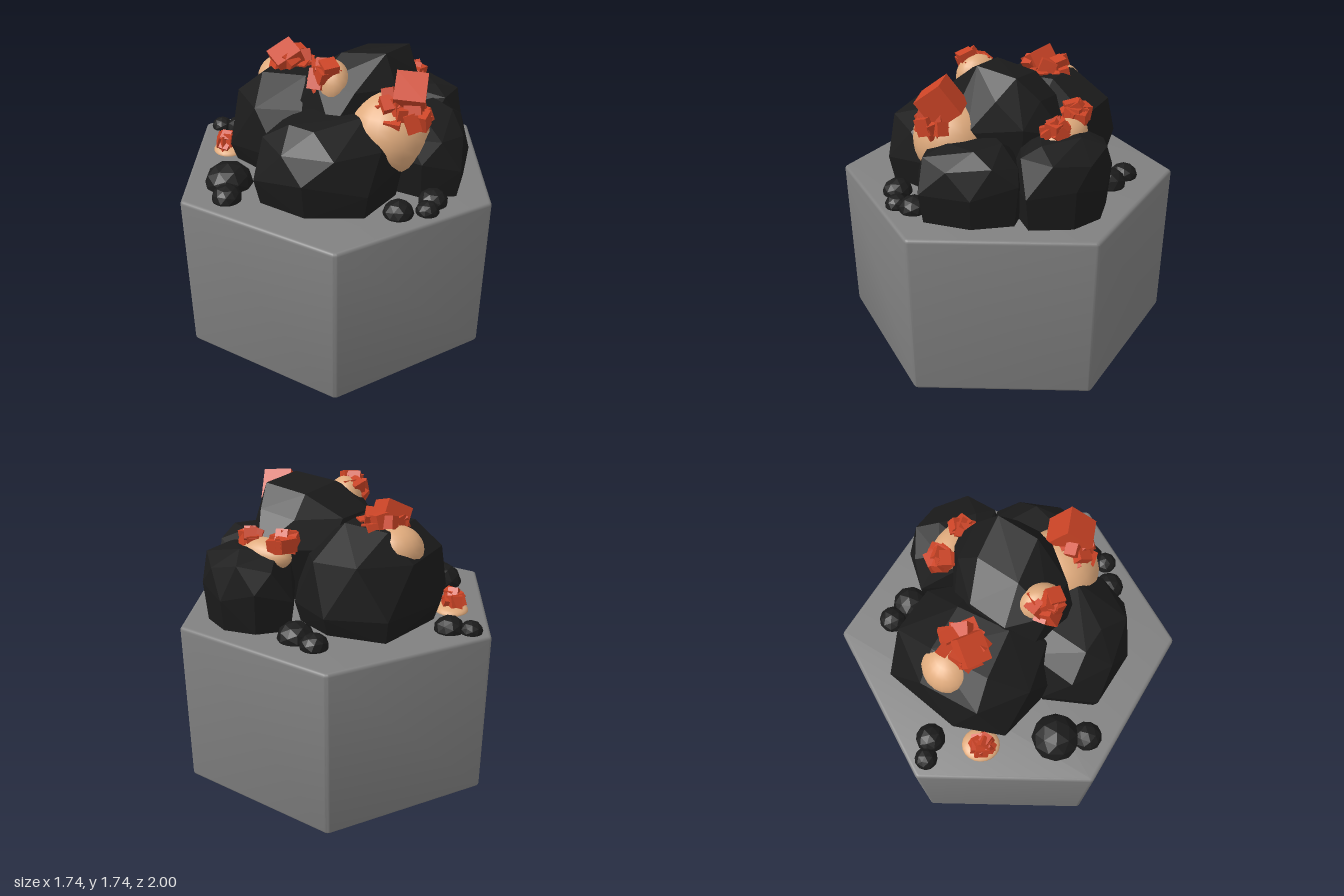
import * as THREE from 'three';
import { toCreasedNormals } from 'three/addons/utils/BufferGeometryUtils.js';
import { ConvexGeometry } from 'three/addons/geometries/ConvexGeometry.js';

const mat = (color, flatShading = false) => new THREE.MeshStandardMaterial({ color, flatShading });

// Small seeded random source
function seeded(seed) {
  let s = seed * 7919 + 17;
  return () => (s = (s * 16807) % 2147483647) / 2147483647;
}

function add(parent, name, geometry, material, position = [0, 0, 0]) {
  const mesh = new THREE.Mesh(geometry, material);
  mesh.name = name;
  mesh.position.set(...position);
  parent.add(mesh);
  return mesh;
}

// Hexagonal block with softly rounded corners and rims
function hexBlock() {
  const pts = [], bevel = 0.02, arc = 0.012, c = 1 - bevel - arc;
  for (let i = 0; i < 6; i++) {
    const a = Math.PI / 2 + i * Math.PI / 3;
    for (let j = -2; j <= 2; j++) {
      const b = a + j * Math.PI / 12;
      pts.push(new THREE.Vector2(c * Math.cos(a) + arc * Math.cos(b), c * Math.sin(a) + arc * Math.sin(b)));
    }
  }
  const geo = new THREE.ExtrudeGeometry(new THREE.Shape(pts), {
    depth: 1 - 2 * bevel, bevelEnabled: true, bevelSize: bevel, bevelThickness: bevel, bevelSegments: 4,
  });
  geo.rotateX(-Math.PI / 2).translate(0, bevel, 0);
  return toCreasedNormals(geo, 0.6);
}

// Faceted boulder: hull of a footprint [x, z] drawn in towards a tilted top
function boulder({ outline, y, top, topScale = 0.42, tilt = 0, seed }) {
  const rnd = seeded(seed), pts = [], n = outline.length;
  const cx = outline.reduce((s, p) => s + p[0], 0) / n;
  const cz = outline.reduce((s, p) => s + p[1], 0) / n;
  const [base, waist, shoulder, peak] = y;
  outline.forEach(([x, z], i) => {
    const [nx, nz] = outline[(i + 1) % n];
    const mx = (x + nx) / 2 - cx, mz = (z + nz) / 2 - cz;
    const dx = x - cx, dz = z - cz;
    pts.push(new THREE.Vector3(cx + dx * 0.92, base, cz + dz * 0.92));
    pts.push(new THREE.Vector3(x, waist + (rnd() - 0.5) * 0.08, z));
    const k = 0.88 + rnd() * 0.08;
    pts.push(new THREE.Vector3(cx + mx * k, shoulder + (rnd() - 0.5) * 0.06, cz + mz * k));
    if (i % 2 === 0) {
      const tz = top[1] + dz * topScale;
      pts.push(new THREE.Vector3(top[0] + dx * topScale, peak - rnd() * 0.03 + tilt * (tz - 0.2), tz));
    }
  });
  return new ConvexGeometry(pts);
}

// Cluster of cubic crystals: one large block with smaller ones crowded round it
function crystals({ at, span, main, offset, count, seed }, material) {
  const rnd = seeded(seed), group = new THREE.Group();
  for (let i = 0; i < 5; i++) rnd();
  group.name = 'crystalCluster';
  group.position.set(...at);
  const big = add(group, 'largeCrystal', new THREE.BoxGeometry(...main), material, offset);
  big.rotation.set(0.35, 0.5 + rnd(), 0.3);
  for (let i = 0; i < count; i++) {
    const s = 0.055 + rnd() * 0.05 * Math.min(1, span[0] * 4);
    const a = i * 2.4, r = 0.35 + 0.65 * Math.sqrt((i + 0.5) / count);
    const pos = [
      Math.cos(a) * r * (span[0] / 2 - s / 2),
      (rnd() - 0.5) * (span[1] - s),
      Math.sin(a) * r * (span[2] / 2 - s / 2),
    ];
    const box = add(group, 'smallCrystal', new THREE.BoxGeometry(s, s * (0.8 + rnd() * 0.6), s), material, pos);
    box.rotation.set((rnd() - 0.5) * 0.9, rnd() * 3, (rnd() - 0.5) * 0.9);
  }
  return group;
}

export function createModel() {
  const model = new THREE.Group();
  model.name = 'rockPile';
  const stone = mat(0x808080), coal = mat(0x1b1b1b, true), sand = mat(0xdfaa7c), red = mat(0xcc4426, true);

  add(model, 'hexBase', hexBlock(), stone);

  // Five large boulders
  const boulders = {
    backLeftBoulder: {
      outline: [[-0.64, 0], [-0.59, -0.3], [-0.3, -0.67], [0.05, -0.58], [0.23, -0.38], [0.2, 0.08], [-0.06, 0.24], [-0.33, 0.29]],
      y: [0.99, 1.14, 1.4, 1.56], top: [-0.23, -0.17], topScale: 0.45, seed: 1,
    },
    frontBoulder: {
      outline: [[-0.45, 0.52], [-0.42, 0.2], [-0.1, 0], [0.28, 0.15], [0.37, 0.42], [0.17, 0.69], [-0.18, 0.69]],
      y: [0.99, 1.18, 1.36, 1.47], top: [-0.05, 0.36], topScale: 0.5, seed: 2,
    },
    topBoulder: {
      outline: [[-0.25, 0.12], [-0.03, 0.38], [0.22, 0.31], [0.47, 0.2], [0.5, -0.1], [0.44, -0.33], [0.05, -0.3], [-0.15, -0.15]],
      y: [1.1, 1.42, 1.58, 1.76], top: [0.24, 0], topScale: 0.52, tilt: 0.14, seed: 3,
    },
    backRightBoulder: {
      outline: [[0.22, -0.52], [0.42, -0.59], [0.62, -0.54], [0.75, -0.38], [0.77, -0.12], [0.55, -0.03], [0.25, -0.1]],
      y: [0.99, 1.2, 1.36, 1.45], top: [0.47, -0.3], topScale: 0.5, seed: 4,
    },
    frontRightBoulder: {
      outline: [[0.58, -0.12], [0.72, -0.08], [0.77, 0.17], [0.69, 0.45], [0.47, 0.47], [0.3, 0.38], [0.3, 0]],
      y: [0.99, 1.2, 1.34, 1.42], top: [0.55, 0.16], topScale: 0.5, seed: 5,
    },
  };
  for (const [name, spec] of Object.entries(boulders)) add(model, name, boulder(spec), coal);

  // Pebbles around the pile: x, z, radius
  const pebbles = [
    [-0.62, 0.29, 0.14], [-0.61, 0.47, 0.087], [-0.76, -0.45, 0.067], [-0.64, -0.43, 0.087], [0.09, -0.7, 0.082],
    [0.2, -0.6, 0.105], [0.34, 0.62, 0.087], [0.5, 0.6, 0.067], [0.54, 0.5, 0.085],
  ];
  pebbles.forEach(([x, z, r], i) => {
    const mesh = add(model, 'pebble', new THREE.IcosahedronGeometry(r, 1), coal, [x, 1.01, z]);
    mesh.scale.y = 0.85;
    mesh.rotation.y = i * 1.3;
  });

  // Pale mineral patches: position, radii, turn about y
  const patches = [
    [[-0.33, 1.42, -0.31], [0.16, 0.14, 0.15], 0.4],
    [[-0.02, 1.58, 0.17], [0.1, 0.13, 0.13], 0.3],
    [[0.29, 1.33, 0.28], [0.24, 0.24, 0.24], 0],
    [[0.4, 1.39, -0.33], [0.18, 0.09, 0.1], -0.55],
    [[-0.67, 1, -0.14], [0.1, 0.04, 0.11], 0],
  ];
  for (const [at, radii, turn] of patches) {
    const mesh = add(model, 'mineralPatch', new THREE.SphereGeometry(1, 20, 14), sand, at);
    mesh.scale.set(...radii);
    mesh.rotation.y = turn;
  }

  // Red crystal clusters
  const clusters = [
    { at: [-0.25, 1.56, -0.23], span: [0.3, 0.14, 0.3], main: [0.16, 0.12, 0.15], offset: [-0.05, 0.03, 0.04], count: 11, seed: 11 },
    { at: [-0.06, 1.63, 0.2], span: [0.18, 0.18, 0.2], main: [0.08, 0.11, 0.08], offset: [-0.01, 0.04, 0], count: 11, seed: 12 },
    { at: [0.37, 1.5, 0.36], span: [0.32, 0.27, 0.27], main: [0.18, 0.19, 0.17], offset: [0.03, 0.08, -0.02], count: 18, seed: 13 },
    { at: [0.28, 1.48, -0.39], span: [0.18, 0.12, 0.15], main: [0.09, 0.08, 0.07], offset: [0, 0.02, 0], count: 8, seed: 14 },
    { at: [0.48, 1.46, -0.27], span: [0.13, 0.12, 0.16], main: [0.07, 0.08, 0.07], offset: [0, 0.02, 0], count: 8, seed: 15 },
    { at: [-0.68, 1.06, -0.13], span: [0.14, 0.1, 0.14], main: [0.06, 0.09, 0.06], offset: [0, 0.02, 0], count: 8, seed: 16 },
  ];
  for (const spec of clusters) model.add(crystals(spec, red));

  return model;
}
